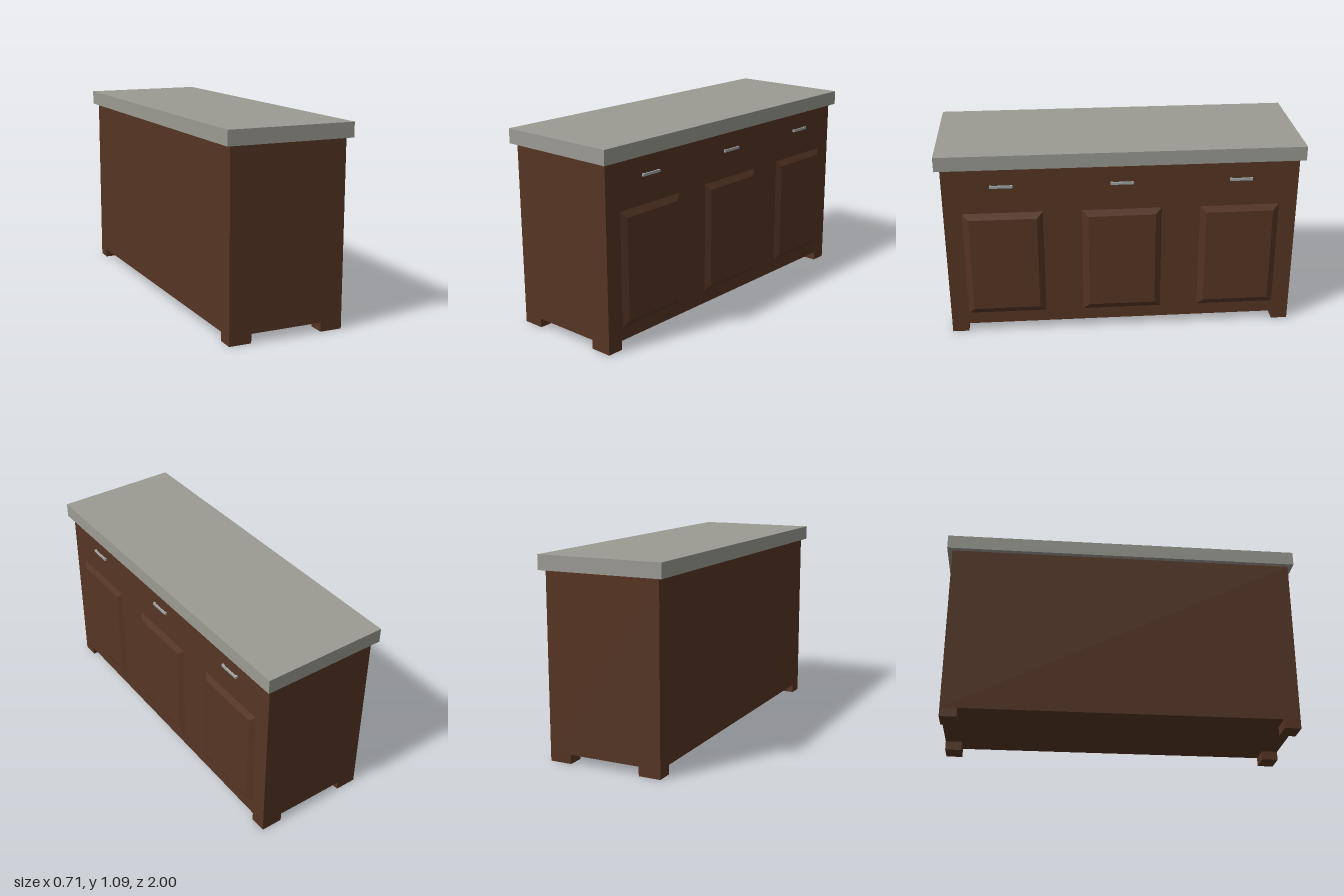
import * as THREE from 'three';

const material = (name, color) => {
  const m = new THREE.MeshStandardMaterial({ color });
  m.name = name;
  return m;
};

export function createModel() {
  const group = new THREE.Group();
  const wood = material('brown wood', 0x563524);
  const stone = material('grey stone', 0x9c9b93);
  const metal = material('pale metal', 0xa3a8a8);

  const add = (name, geometry, mat, x, y, z, parent = group) => {
    const mesh = new THREE.Mesh(geometry, mat);
    mesh.name = name;
    mesh.position.set(x, y, z);
    parent.add(mesh);
    return mesh;
  };
  const box = (name, w, h, d, mat, x, y, z, parent) =>
    add(name, new THREE.BoxGeometry(w, h, d), mat, x, y, z, parent);

  // Cabinet body and overhanging worktop
  box('cabinetBody', 0.65, 0.96, 1.944, wood, 0, 0.53, 0);
  box('worktop', 0.706, 0.08, 2, stone, 0, 1.05, 0);

  // Four corner feet, flush with the body
  for (const sx of [-1, 1]) {
    for (const sz of [-1, 1]) {
      box('foot', 0.123, 0.05, 0.092, wood, sx * 0.2635, 0.025, sz * 0.926);
    }
  }

  // Raised door panel: a box whose outer face is drawn in to form the bevel
  const raisedPanel = () => {
    const depth = 0.018, height = 0.625, width = 0.44, bevel = 0.034;
    const g = new THREE.BoxGeometry(depth, height, width);
    const p = g.attributes.position;
    for (let i = 0; i < p.count; i++) {
      if (p.getX(i) > 0) {
        p.setY(i, p.getY(i) - Math.sign(p.getY(i)) * bevel);
        p.setZ(i, p.getZ(i) - Math.sign(p.getZ(i)) * bevel);
      }
    }
    const flat = g.toNonIndexed();
    flat.computeVertexNormals();
    return flat;
  };

  // Three doors, each with a bar handle above it
  for (const z of [-0.653, 0, 0.653]) {
    add('doorPanel', raisedPanel(), wood, 0.334, 0.4325, z);
    const handle = new THREE.Group();
    handle.name = 'handle';
    handle.position.set(0.325, 0.903, z);
    group.add(handle);
    box('handleBar', 0.008, 0.014, 0.124, metal, 0.009, 0, 0, handle);
    for (const s of [-1, 1]) {
      box('handlePost', 0.006, 0.014, 0.012, metal, 0.003, 0, s * 0.056, handle);
    }
  }

  return group;
}
